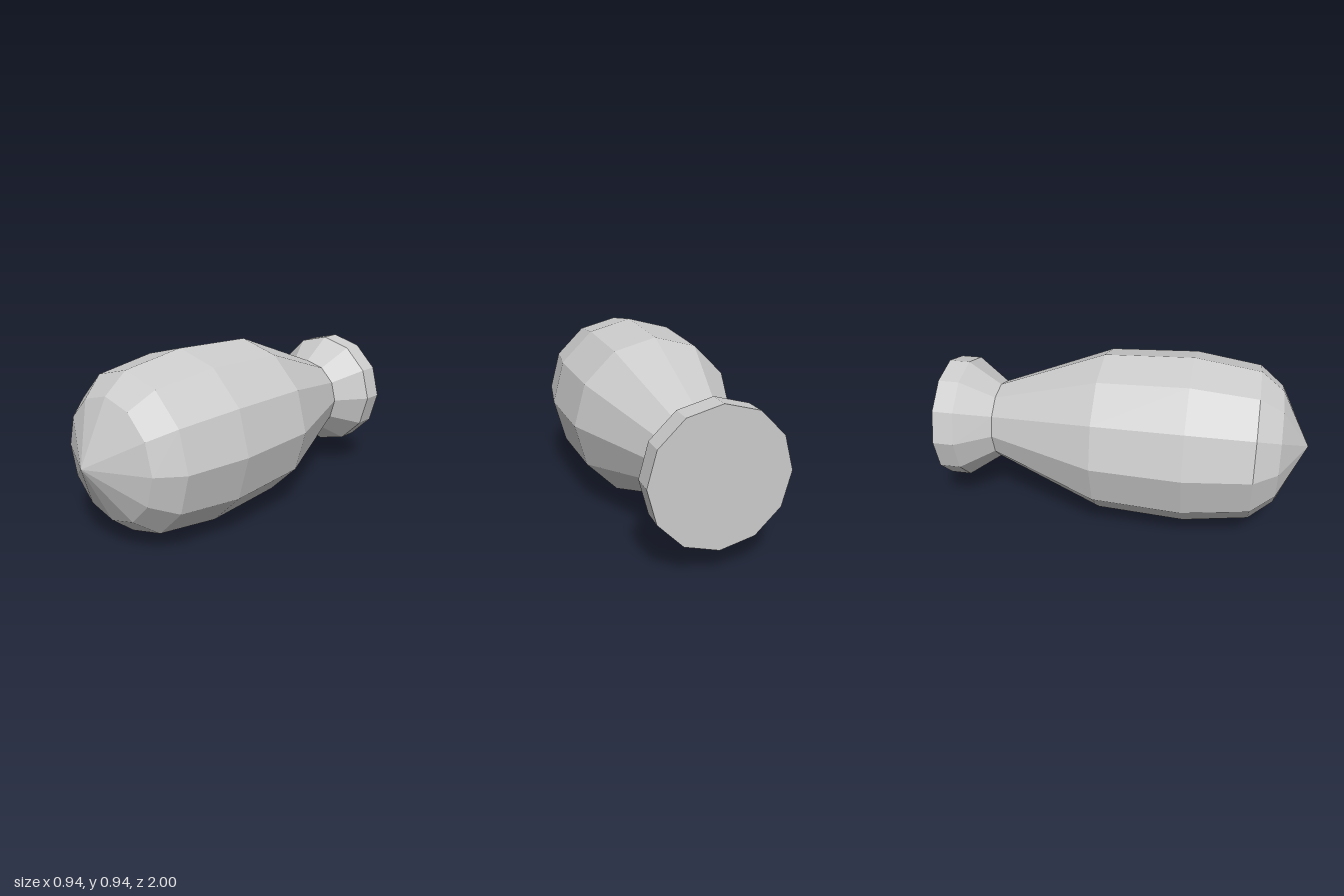
import * as THREE from 'three';

const SIDES = 12;
const AXIS_HEIGHT = 0.468;

// Turns a [radius, z] profile, listed from back to front, around the z axis
function turnedPart(name, profile, material) {
  const points = profile.map(([r, z]) => new THREE.Vector2(r, z));
  const geometry = new THREE.LatheGeometry(points, SIDES);
  geometry.rotateX(Math.PI / 2);
  const mesh = new THREE.Mesh(geometry, material);
  mesh.name = name;
  mesh.position.y = AXIS_HEIGHT;
  return mesh;
}

export function createModel() {
  const model = new THREE.Group();
  model.name = 'bulbWithBase';
  const material = new THREE.MeshStandardMaterial({ color: 0xcccccc, flatShading: true });

  // Flared base with a closed flat back
  model.add(turnedPart('base', [
    [0, -1], [0.34, -1], [0.34, -0.885], [0.217, -0.71],
  ], material));

  // Swelling body that ends in a shallow pointed nose
  model.add(turnedPart('body', [
    [0.217, -0.71], [0.447, -0.11], [0.468, 0.365],
    [0.418, 0.715], [0.316, 0.84], [0, 1],
  ], material));

  return model;
}
